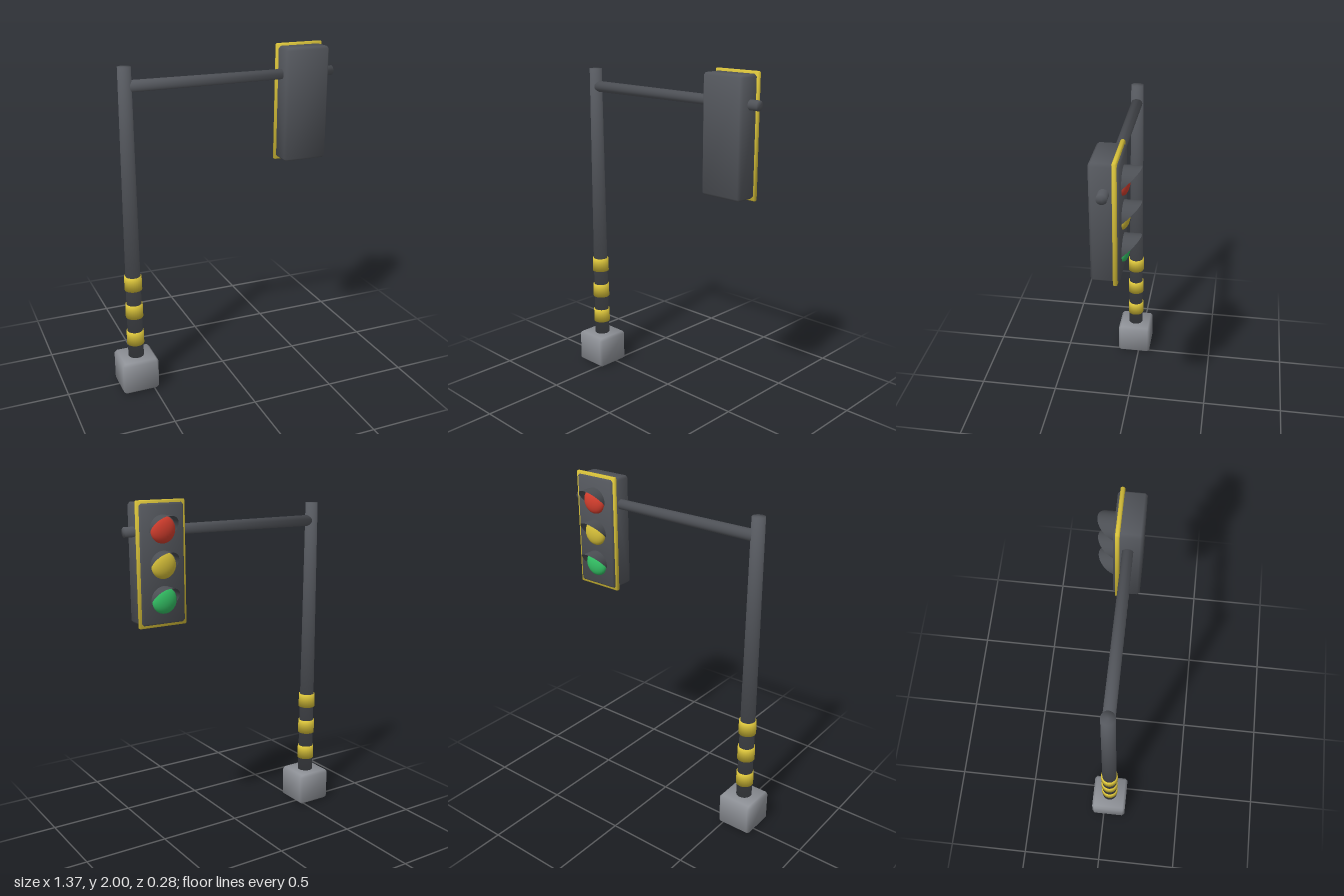
import * as THREE from 'three';
import { mergeVertices } from 'three/addons/utils/BufferGeometryUtils.js';
import { ConvexGeometry } from 'three/addons/geometries/ConvexGeometry.js';

const material = (name, color, side = THREE.FrontSide) => {
  const m = new THREE.MeshStandardMaterial({ color, side });
  m.name = name;
  return m;
};

// Weld all corners and give every vertex an angle-weighted smooth normal
function smooth(source) {
  source.deleteAttribute('normal');
  source.deleteAttribute('uv');
  const geo = mergeVertices(source);
  const pos = geo.attributes.position;
  const sums = Array.from({ length: pos.count }, () => new THREE.Vector3());
  const at = (i) => new THREE.Vector3().fromBufferAttribute(pos, i);
  for (let t = 0; t < geo.index.count; t += 3) {
    const ids = [0, 1, 2].map((k) => geo.index.getX(t + k));
    const p = ids.map(at);
    const n = p[1].clone().sub(p[0]).cross(p[2].clone().sub(p[0]));
    if (n.length() < 1e-10) continue;
    n.normalize();
    ids.forEach((id, k) => {
      const a = p[(k + 1) % 3].clone().sub(p[k]);
      const b = p[(k + 2) % 3].clone().sub(p[k]);
      sums[id].addScaledVector(n, a.angleTo(b));
    });
  }
  const normals = sums.flatMap((v) => v.normalize().toArray());
  geo.setAttribute('normal', new THREE.Float32BufferAttribute(normals, 3));
  return geo;
}

// Box with all edges chamfered by b, given by half sizes
function chamferBox(hx, hy, hz, b) {
  const points = [];
  for (const x of [-1, 1]) for (const y of [-1, 1]) for (const z of [-1, 1]) {
    points.push(
      new THREE.Vector3(x * hx, y * (hy - b), z * (hz - b)),
      new THREE.Vector3(x * (hx - b), y * hy, z * (hz - b)),
      new THREE.Vector3(x * (hx - b), y * (hy - b), z * hz)
    );
  }
  return smooth(new ConvexGeometry(points));
}

// Half-round hood, cut off by a slanting plane at its open end
function hoodGeometry(r) {
  const arc = THREE.MathUtils.degToRad(209);
  const geo = new THREE.CylinderGeometry(r, r, 1, 24, 1, true, -arc / 2, arc);
  geo.rotateX(-Math.PI / 2);
  const pos = geo.attributes.position;
  for (let i = 0; i < pos.count; i++) {
    pos.setZ(i, pos.getZ(i) < 0 ? -0.06 - pos.getY(i) : -0.04);
  }
  return geo;
}

export function createModel() {
  const metal = material('dark metal', 0x54575d);
  const hoodMetal = material('hood metal', 0x4c4f54, THREE.DoubleSide);
  const yellow = material('signal yellow', 0xd9c23a);
  const concrete = material('concrete', 0x8e9197);
  const red = material('red lens', 0xd9402f);
  const green = material('green lens', 0x35c567);

  const model = new THREE.Group();
  model.name = 'trafficLight';
  const add = (name, geo, mat, x, y, z, parent = model) => {
    const mesh = new THREE.Mesh(geo, mat);
    mesh.name = name;
    mesh.position.set(x, y, z);
    parent.add(mesh);
    return mesh;
  };
  const POLE_X = -0.58, HEAD_X = 0.488, Z = 0.032;
  const rod = (top, bottom, h) => smooth(new THREE.CylinderGeometry(top, bottom, h, 24));

  // Foot, tapered pole and warning bands
  add('base', chamferBox(0.11, 0.1, 0.109, 0.015), concrete, POLE_X, 0.1, Z);
  add('pole', rod(0.037, 0.047, 1.79), metal, POLE_X, 1.045, Z);
  for (const y of [0.325, 0.502, 0.68]) {
    add('warningBand', rod(0.051, 0.052, 0.085), yellow, POLE_X, y, Z);
  }

  // Horizontal arm, slightly thinner at the free end
  const arm = add('arm', rod(0.028, 0.033, 1.24), metal, 0.06, 1.833, Z);
  arm.rotation.z = -Math.PI / 2;

  // Signal head with its yellow rim
  const head = new THREE.Group();
  head.name = 'signalHead';
  head.position.set(HEAD_X, 1.656, 0);
  model.add(head);
  add('housing', chamferBox(0.135, 0.331, 0.077, 0.014), metal, 0, 0, 0.031, head);
  add('rim', chamferBox(0.147, 0.345, 0.012, 0.006), yellow, 0, 0, -0.022, head);

  // Three lenses under hoods, on the side facing -z
  const lens = new THREE.SphereGeometry(0.075, 28, 18).scale(1, 1, 0.48);
  const hood = hoodGeometry(0.079);
  [['red', red], ['yellow', yellow], ['green', green]].forEach(([name, mat], i) => {
    const y = 0.189 - i * 0.192;
    add(name + 'Lens', lens, mat, 0, y, -0.045, head);
    add(name + 'Hood', hood, hoodMetal, 0, y, 0, head);
  });

  return model;
}
